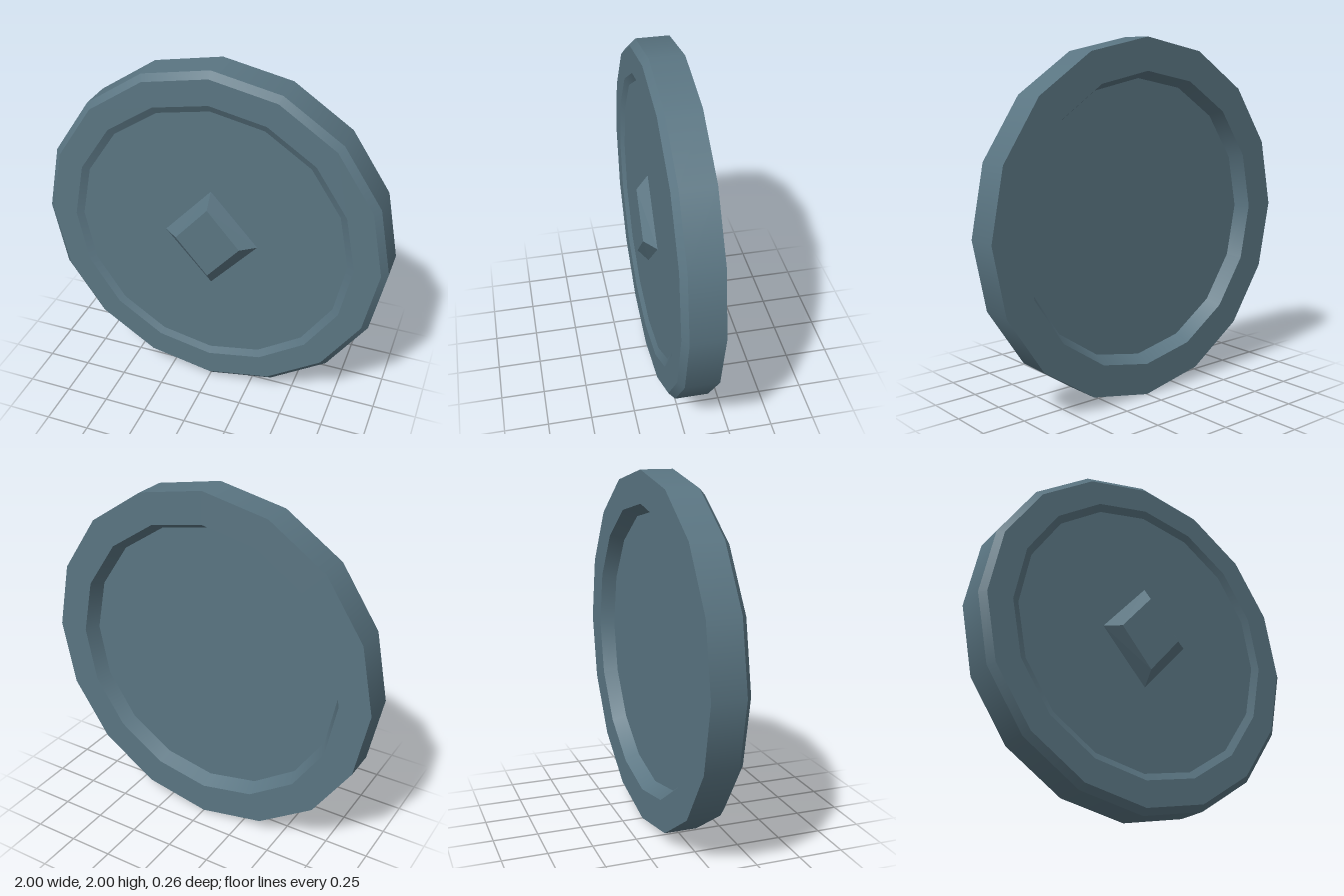
import * as THREE from 'three';
import { mergeGeometries } from 'three/addons/utils/BufferGeometryUtils.js';

const SIDES = 16;

// Profile [radius, z] from the back centre, round the rim, to the front centre.
const PROFILE = [
  [0, -0.05], [0.78, -0.05],   // back recess floor
  [0.82, -0.13], [1, -0.13],   // back rim
  [1, 0.055], [0.965, 0.088],  // outer side and front bevel
  [0.82, 0.088], [0.78, 0.067], // front rim and recess wall
  [0, 0.067],                  // front recess floor
];

// One lathe band per profile segment: smooth around, sharp between bands.
function discGeometry() {
  const bands = [];
  for (let i = 0; i < PROFILE.length - 1; i++) {
    const points = [PROFILE[i], PROFILE[i + 1]].map(([r, z]) => new THREE.Vector2(r, z));
    bands.push(new THREE.LatheGeometry(points, SIDES));
  }
  return mergeGeometries(bands).rotateX(Math.PI / 2);
}

// Four-sided boss whose base and top have their own half-widths and half-heights.
function diamondGeometry(zBase, zTop, base, top) {
  const g = new THREE.CylinderGeometry(1, 1, 2, 4).rotateX(Math.PI / 2).toNonIndexed();
  const p = g.attributes.position;
  for (let i = 0; i < p.count; i++) {
    const front = p.getZ(i) > 0;
    const [w, h] = front ? top : base;
    p.setXYZ(i, p.getX(i) * w, p.getY(i) * h, front ? zTop : zBase);
  }
  g.computeVertexNormals();
  return g;
}

export function createModel() {
  const slate = new THREE.MeshStandardMaterial({ color: 0x5a7582 });
  slate.name = 'slateBlue';

  const model = new THREE.Group();
  model.name = 'roundPlate';

  const disc = new THREE.Mesh(discGeometry(), slate);
  disc.name = 'disc';
  disc.position.y = 1;

  const boss = new THREE.Mesh(diamondGeometry(0.067, 0.13, [0.27, 0.3], [0.186, 0.215]), slate);
  boss.name = 'diamondBoss';
  boss.position.set(0.005, 1.005, 0);

  model.add(disc, boss);
  return model;
}
